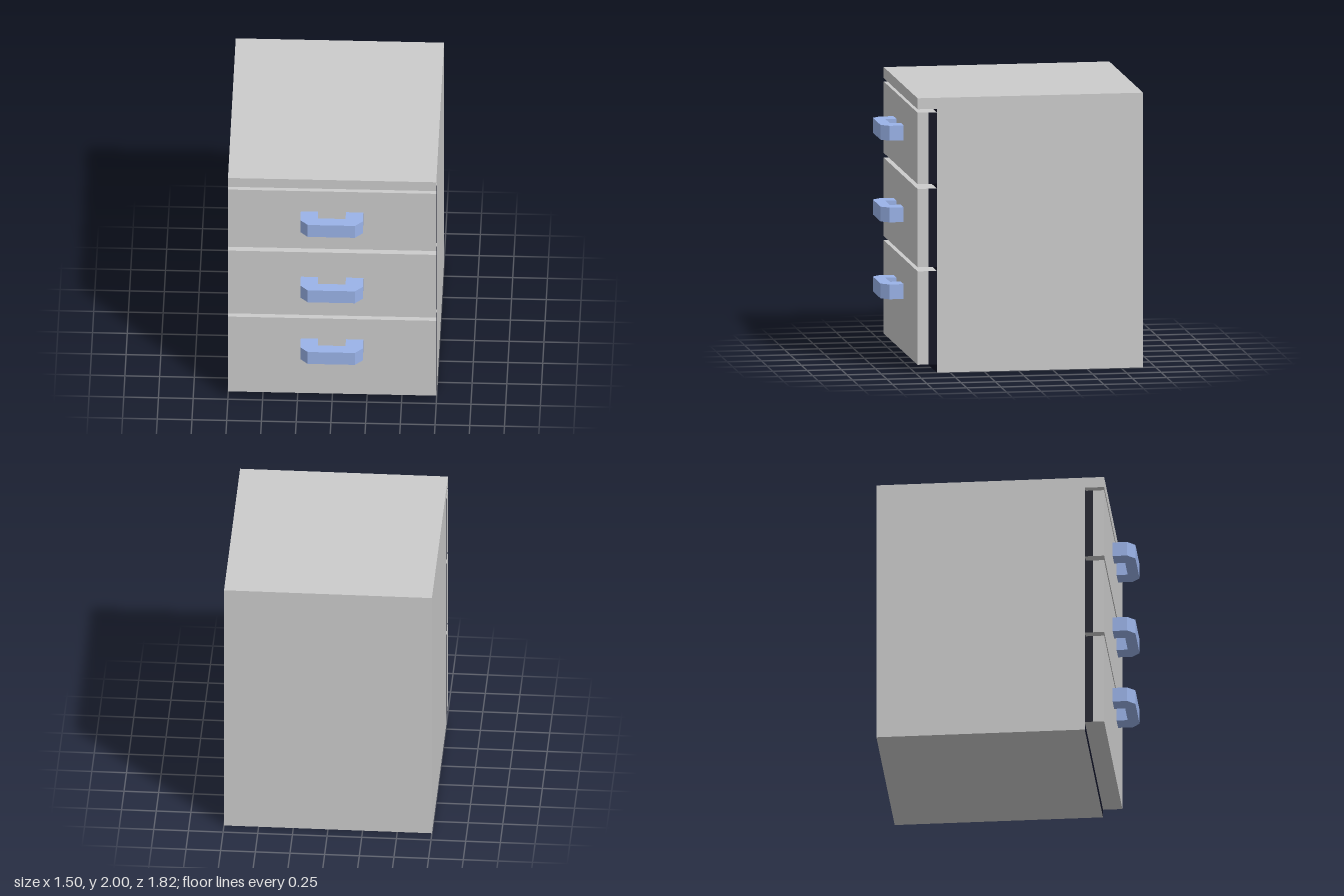
import * as THREE from 'three';

const grey = new THREE.MeshStandardMaterial({ color: 0xcccccc });
const dark = new THREE.MeshStandardMaterial({ color: 0x0e1022 });
const blue = new THREE.MeshStandardMaterial({ color: 0x9ab3e9 });

const WIDTH = 1.5, BACK = -0.91, BODY = 0.595, SPACER = 0.655, FRONT = 0.735;

// Full-width box between two heights and two depths
function slab(name, y0, y1, z0, z1, material) {
  const mesh = new THREE.Mesh(new THREE.BoxGeometry(WIDTH, y1 - y0, z1 - z0), material);
  mesh.position.set(0, (y0 + y1) / 2, (z0 + z1) / 2);
  mesh.name = name;
  return mesh;
}

// Chamfered U-shaped pull, drawn in plan and extruded upward
function makeHandle(y, height) {
  const half = [[0.1, 0.83], [0.1, 0.75], [0.225, 0.75], [0.225, 0.855], [0.17, 0.91]];
  const mirrored = half.map(([x, z]) => [-x, z]).reverse();
  const outline = [...half, ...mirrored].map(([x, z]) => new THREE.Vector2(x, -z));
  const geometry = new THREE.ExtrudeGeometry(new THREE.Shape(outline), {
    depth: height, bevelEnabled: false,
  });
  geometry.rotateX(-Math.PI / 2);
  const mesh = new THREE.Mesh(geometry, blue);
  mesh.position.y = y;
  mesh.name = 'handle';
  return mesh;
}

export function createModel() {
  const model = new THREE.Group();
  model.name = 'drawerCabinet';

  // Cabinet with a dark front face, and the overhanging edge of its top
  model.add(slab('cabinetBody', 0, 2, BACK, BODY, [grey, grey, grey, grey, dark, grey]));
  model.add(slab('topEdge', 1.92, 2, BODY, FRONT, grey));

  // Drawers: [bottom, top, handle bottom]
  const drawers = [[0.06, 0.74, 0.46], [0.77, 1.34, 1.02], [1.375, 1.895, 1.615]];
  for (const [y0, y1, handleY] of drawers) {
    const drawer = new THREE.Group();
    drawer.name = 'drawer';
    // Recessed band with dark ends behind the front panel
    drawer.add(slab('drawerBand', y0, y1, BODY, SPACER, [dark, dark, grey, grey, dark, dark]));
    drawer.add(slab('drawerFront', y0, y1, SPACER, FRONT, grey));
    drawer.add(makeHandle(handleY, 0.108));
    model.add(drawer);
  }
  return model;
}
